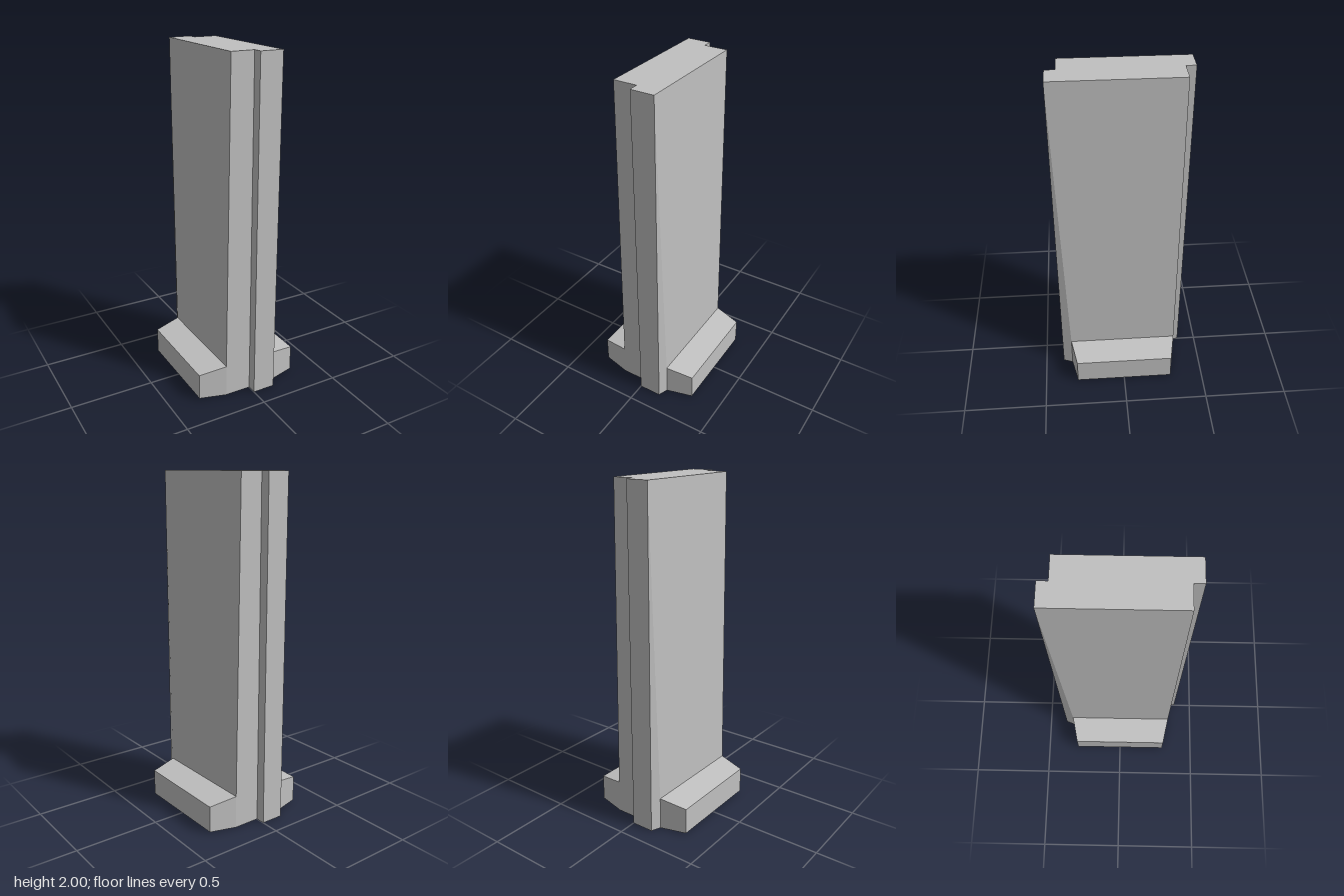
import * as THREE from 'three';

const FOOT_H = 0.195, HEIGHT = 2;
const WIDE = 0.158, NARROW = 0.136;   // half widths at foot and top
const Z_BODY = 0.33, Z_TONGUE = 0.387;

// Plan outline: two offset tongues, symmetric by a half turn
function bladeGeometry() {
  const half = [
    [0, Z_BODY], [0, Z_TONGUE], [NARROW, Z_TONGUE], [WIDE, Z_BODY], [WIDE, -Z_BODY],
  ];
  const outline = [...half, ...half.map(([x, z]) => [-x, -z])];
  const shape = new THREE.Shape(outline.map(([x, z]) => new THREE.Vector2(x, -z)));
  const geo = new THREE.ExtrudeGeometry(shape, { depth: 2, steps: 2, bevelEnabled: false });
  geo.rotateX(-Math.PI / 2);

  // Straight up to the foot height, then tapering to the top
  const p = geo.attributes.position;
  for (let i = 0; i < p.count; i++) {
    const level = Math.round(p.getY(i));
    p.setY(i, [0, FOOT_H, HEIGHT][level]);
    const x = p.getX(i);
    if (level === 2 && Math.abs(x) > NARROW) p.setX(i, Math.sign(x) * NARROW);
  }
  geo.computeVertexNormals();
  return geo;
}

// Side foot: a block whose outer face is smaller than its inner face
function footGeometry() {
  const geo = new THREE.BoxGeometry(1, 1, 1).toNonIndexed();
  const p = geo.attributes.position;
  for (let i = 0; i < p.count; i++) {
    const outer = p.getX(i) > 0, up = p.getY(i) > 0, side = Math.sign(p.getZ(i));
    p.setXYZ(
      i,
      outer ? 0.32 : WIDE,
      up ? (outer ? 0.167 : FOOT_H) : (outer ? 0.01 : 0),
      side * (outer ? 0.297 : Z_BODY),
    );
  }
  geo.computeVertexNormals();
  return geo;
}

export function createModel() {
  const grey = new THREE.MeshStandardMaterial({ color: 0xc0c0c0 });
  grey.name = 'light grey';
  const model = new THREE.Group();
  model.name = 'footedBlade';

  const blade = new THREE.Mesh(bladeGeometry(), grey);
  blade.name = 'blade';
  model.add(blade);

  const footGeo = footGeometry();
  for (const [name, turn] of [['leftFoot', 0], ['rightFoot', Math.PI]]) {
    const foot = new THREE.Mesh(footGeo, grey);
    foot.name = name;
    foot.rotation.y = turn;
    model.add(foot);
  }
  return model;
}
